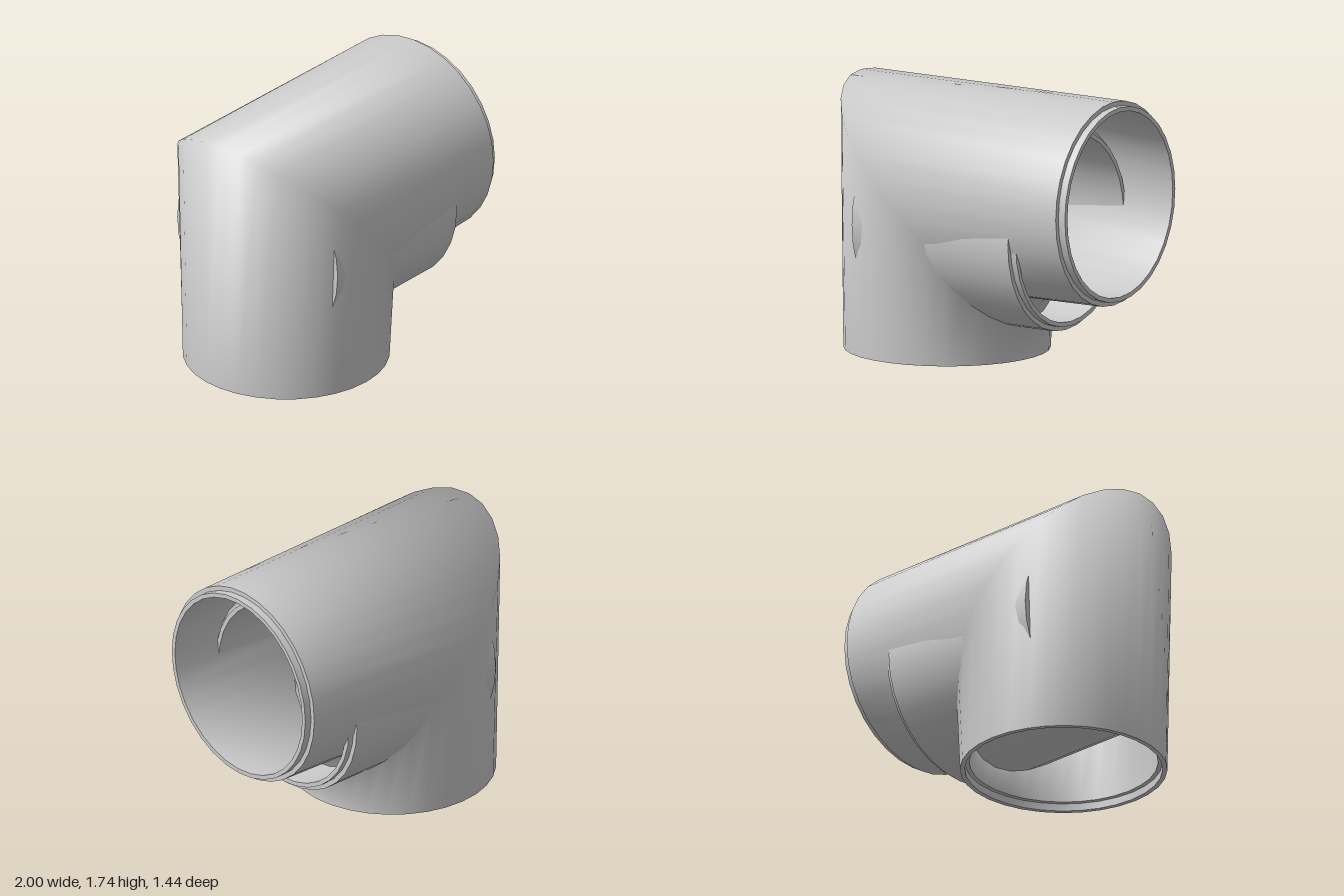
import * as THREE from 'three';
import { mergeGeometries } from 'three/addons/utils/BufferGeometryUtils.js';

const SIDES = 32;
const AXIS_X = -0.335; // centre line of the upright leg
const AXIS_Y = 1.073; // centre line of the horizontal arm
const STUB_Y = 0.873; // centre line of the lower stub
const OUTER = 0.665, STEP = 0.634, BORE = 0.605;

// Each ring is a function from angle to point.
const level = (y, r) => (a) => [AXIS_X - r * Math.cos(a), y, r * Math.sin(a)];
const upright = (x, r, cy = AXIS_Y) => (a) => [x, cy + r * Math.cos(a), r * Math.sin(a)];
const mitre = (r, rz) => (a) => [AXIS_X - r * Math.cos(a), AXIS_Y + r * Math.cos(a), rz * Math.sin(a)];

// Smooth skin through a list of rings
function loft(rings) {
  const pos = [], index = [];
  rings.forEach((ring, i) => {
    for (let j = 0; j < SIDES; j++) {
      pos.push(...ring((j / SIDES) * Math.PI * 2));
      if (i === rings.length - 1) continue;
      const k = (j + 1) % SIDES;
      const a = i * SIDES + j, b = i * SIDES + k;
      index.push(a, b, b + SIDES, a, b + SIDES, a + SIDES);
    }
  });
  const g = new THREE.BufferGeometry();
  g.setAttribute('position', new THREE.Float32BufferAttribute(pos, 3));
  g.setIndex(index);
  g.computeVertexNormals();
  return g;
}

// Closed shell: every span is smooth, with a sharp edge between spans
function shell(name, spans) {
  const material = new THREE.MeshStandardMaterial({ color: 0xcccccc, side: THREE.DoubleSide });
  const mesh = new THREE.Mesh(mergeGeometries(spans.map(loft)), material);
  mesh.name = name;
  return mesh;
}

// Turns consecutive rings into single sharp-edged spans
const steps = (rings) => rings.slice(1).map((r, i) => [rings[i], r]);

export function createModel() {
  const group = new THREE.Group();
  group.name = 'pipeElbow';

  // Mitred elbow with a spigot on the arm and a socket under the leg
  group.add(shell('elbowPipe', [
    [level(0, OUTER), mitre(OUTER, 0.72), upright(0.95, OUTER)],
    ...steps([upright(0.95, OUTER), upright(0.95, STEP), upright(1, STEP), upright(1, BORE)]),
    [upright(1, BORE), mitre(BORE, 0.655), level(0.05, BORE)],
    ...steps([level(0.05, BORE), level(0.05, STEP), level(0, STEP), level(0, OUTER)]),
  ]));

  // Straight stub passing through the leg below the arm
  const s = (x, r) => upright(x, r, STUB_Y);
  group.add(shell('lowerStub', steps([
    s(-0.625, OUTER), s(0.58, OUTER), s(0.58, STEP), s(0.62, STEP),
    s(0.62, BORE), s(-0.625, BORE), s(-0.625, OUTER),
  ])));

  return group;
}
